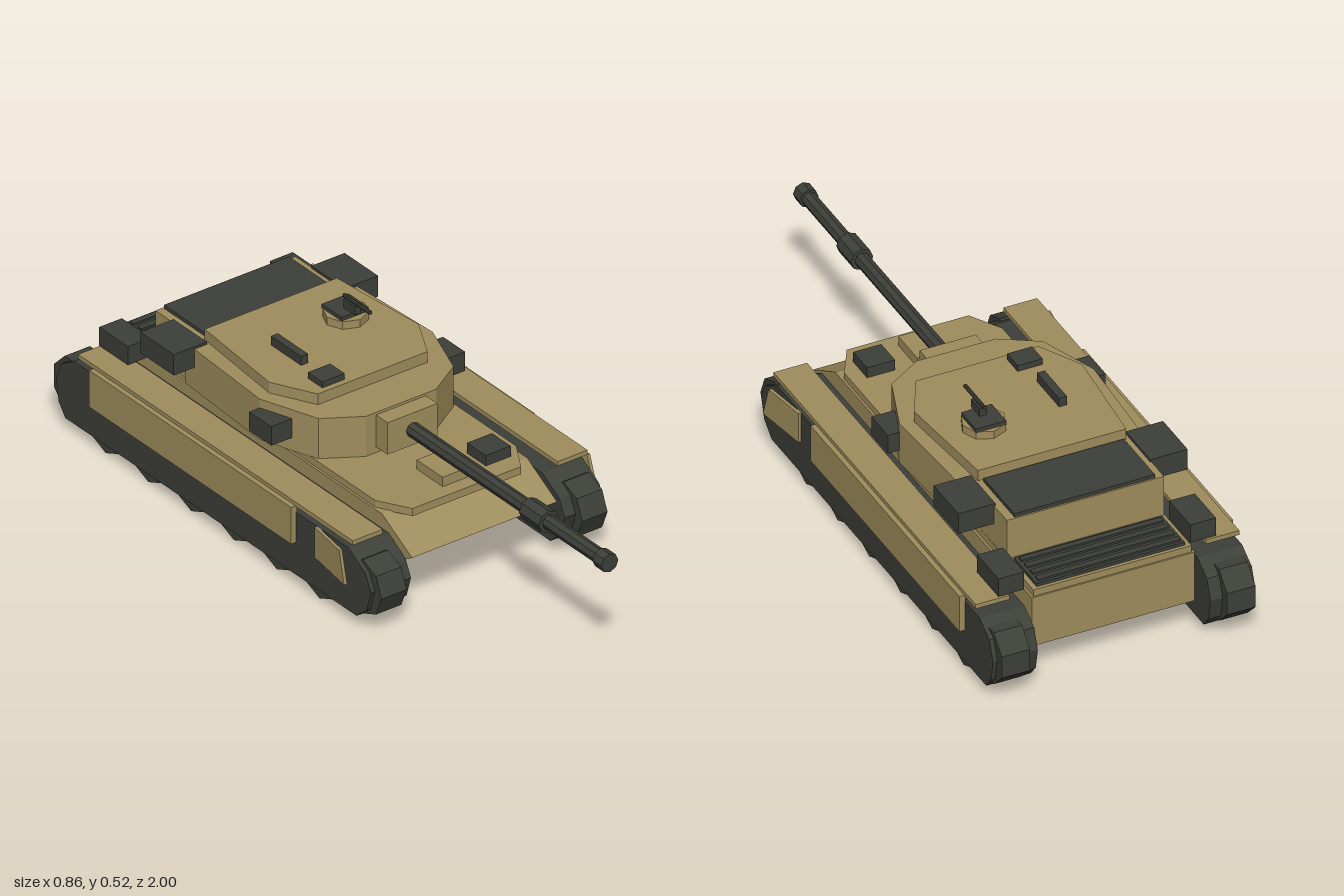
import * as THREE from 'three';

const tan = new THREE.MeshStandardMaterial({ color: 0x9f8d5d });
tan.name = 'sand paint';
const dark = new THREE.MeshStandardMaterial({ color: 0x3d3f39 });
dark.name = 'dark steel';

export function createModel() {
  const root = new THREE.Group();
  root.name = 'tank';

  // Adds a faceted mesh
  function add(name, geometry, material, parent = root) {
    const g = geometry.index ? geometry.toNonIndexed() : geometry;
    g.computeVertexNormals();
    const mesh = new THREE.Mesh(g, material);
    mesh.name = name;
    parent.add(mesh);
    return mesh;
  }

  // Box given by its limits on each axis
  function box(name, material, [x0, x1], [y0, y1], [z0, z1], parent) {
    const g = new THREE.BoxGeometry(x1 - x0, y1 - y0, z1 - z0);
    g.translate((x0 + x1) / 2, (y0 + y1) / 2, (z0 + z1) / 2);
    return add(name, g, material, parent);
  }

  // Side outline of [z, y] points, extruded across x0..x1
  function sideProfile(points, x0, x1) {
    const shape = new THREE.Shape(points.map(([z, y]) => new THREE.Vector2(z, y)));
    const g = new THREE.ExtrudeGeometry(shape, { depth: x1 - x0, bevelEnabled: false });
    return g.rotateY(-Math.PI / 2).translate(x1, 0, 0);
  }

  // Plan outline given as the +x half, mirrored, extruded up y0..y1
  function plan(half, y0, y1) {
    const mirrored = half.map(([x, z]) => [-x, z]).reverse();
    const shape = new THREE.Shape([...half, ...mirrored].map(([x, z]) => new THREE.Vector2(x, -z)));
    const g = new THREE.ExtrudeGeometry(shape, { depth: y1 - y0, bevelEnabled: false });
    return g.rotateX(-Math.PI / 2).translate(0, y0, 0);
  }

  // Eight-sided wheel on the x axis
  function wheel(name, radius, y, z, parent, turn = 0) {
    const g = new THREE.CylinderGeometry(radius, radius, 0.086, 8, 1, false, turn);
    add(name, g.rotateZ(Math.PI / 2).translate(0.342, y, z), dark, parent);
  }

  // Eight-sided rod on the z axis
  function rod(name, radius, x, y, z0, z1) {
    const g = new THREE.CylinderGeometry(radius, radius, z1 - z0, 8);
    add(name, g.rotateX(Math.PI / 2).translate(x, y, (z0 + z1) / 2), dark);
  }

  // Hull with sloped nose, and the raised deck
  add('hull', sideProfile([
    [-0.905, 0.105], [0.3, 0.105], [0.435, 0.19], [0.3, 0.265], [-0.905, 0.265],
  ], -0.247, 0.247), tan);
  add('deck', plan([[0.24, -0.9], [0.24, 0.26], [0.185, 0.355]], 0.262, 0.286), tan);
  box('driverHatch', tan, [-0.05, 0.05], [0.28, 0.316], [0.195, 0.312]);
  box('deckBox', dark, [0.11, 0.195], [0.28, 0.319], [0.21, 0.295]);

  // Engine grille with slats
  box('engineGrille', dark, [-0.225, 0.225], [0.28, 0.296], [-0.89, -0.75]);
  for (let i = 0; i < 4; i++) {
    const z = -0.872 + i * 0.034;
    box('grilleSlat', dark, [-0.215, 0.215], [0.295, 0.302], [z - 0.009, z + 0.009]);
  }

  // Running gear and side plates, the same on both sides
  for (const side of [1, -1]) {
    const gear = new THREE.Group();
    gear.name = side > 0 ? 'leftSide' : 'rightSide';
    root.add(gear);

    add('track', sideProfile([
      [-0.93, 0.037], [0.385, 0.037], [0.43, 0.075], [0.45, 0.14], [0.425, 0.19],
      [0.35, 0.235], [-0.89, 0.235], [-0.95, 0.2], [-0.972, 0.14], [-0.96, 0.075],
    ], 0.262, 0.398), dark, gear);
    for (let i = 0; i < 6; i++) wheel('roadWheel', 0.078, 0.078, 0.2 - i * 0.193, gear);
    wheel('idler', 0.085, 0.13, 0.395, gear);
    wheel('sprocket', 0.0915, 0.135, -0.915, gear, Math.PI / 8);

    box('fender', tan, [0.298, 0.4], [0.254, 0.268], [-0.87, 0.37], gear);
    box('sideSkirt', tan, [0.396, 0.415], [0.14, 0.256], [-0.8, 0.112], gear);

    // Front skirt, flaring outwards
    const flap = sideProfile([[0.205, 0.14], [0.372, 0.14], [0.345, 0.235], [0.205, 0.235]], 0.396, 0.406);
    const p = flap.attributes.position;
    for (let i = 0; i < p.count; i++) p.setX(i, p.getX(i) + (p.getZ(i) - 0.205) * 0.15);
    add('frontSkirt', flap, tan, gear);

    // Stowage
    box('hullStowage', dark, [0.252, 0.33], [0.272, 0.33], [-0.868, -0.738], gear);
    box('turretStowage', dark, [0.235, 0.348], [0.355, 0.421], [-0.658, -0.507], gear);
    box('turretSideBox', dark, [0.26, 0.33], [0.325, 0.385], [-0.19, -0.09], gear);

    // Mirrored by rule: flip x and reverse each triangle
    if (side < 0) {
      for (const mesh of gear.children) {
        const g = mesh.geometry;
        g.scale(-1, 1, 1);
        const a = g.attributes.position;
        const v = new THREE.Vector3(), w = new THREE.Vector3();
        for (let i = 0; i < a.count; i += 3) {
          v.fromBufferAttribute(a, i + 1);
          w.fromBufferAttribute(a, i + 2);
          a.setXYZ(i + 1, w.x, w.y, w.z);
          a.setXYZ(i + 2, v.x, v.y, v.z);
        }
        g.computeVertexNormals();
      }
    }
  }

  // Turret body, bustle and raised roof
  add('turret', plan([
    [0.238, -0.735], [0.24, -0.56], [0.275, -0.55], [0.295, -0.19], [0.23, -0.01], [0.12, 0.058],
  ], 0.284, 0.413), tan);
  add('turretRoof', plan([
    [0.225, -0.53], [0.255, -0.2], [0.187, -0.07],
  ], 0.41, 0.447), tan);
  box('bustleGrille', dark, [-0.213, 0.213], [0.41, 0.424], [-0.73, -0.54]);

  // Mantlet and main gun
  box('mantlet', tan, [-0.085, 0.085], [0.304, 0.405], [0.04, 0.11]);
  rod('barrel', 0.022, 0, 0.354, 0.1, 0.98);
  rod('barrelSleeve', 0.034, 0, 0.354, 0.635, 0.725);
  rod('muzzle', 0.029, 0, 0.354, 0.96, 1.0);

  // Cupola with its machine gun
  const cupola = new THREE.CylinderGeometry(0.064, 0.064, 0.028, 8);
  add('cupola', cupola.translate(0.118, 0.457, -0.348), tan);
  box('cupolaHatch', dark, [0.073, 0.165], [0.469, 0.483], [-0.397, -0.307]);
  box('gunMount', dark, [0.109, 0.129], [0.482, 0.509], [-0.347, -0.295]);
  rod('machineGun', 0.006, 0.119, 0.514, -0.357, -0.237);

  // Roof fittings
  box('periscope', dark, [-0.158, -0.082], [0.44, 0.466], [-0.153, -0.088]);
  box('roofRail', dark, [-0.132, -0.108], [0.44, 0.475], [-0.355, -0.218]);

  return root;
}
